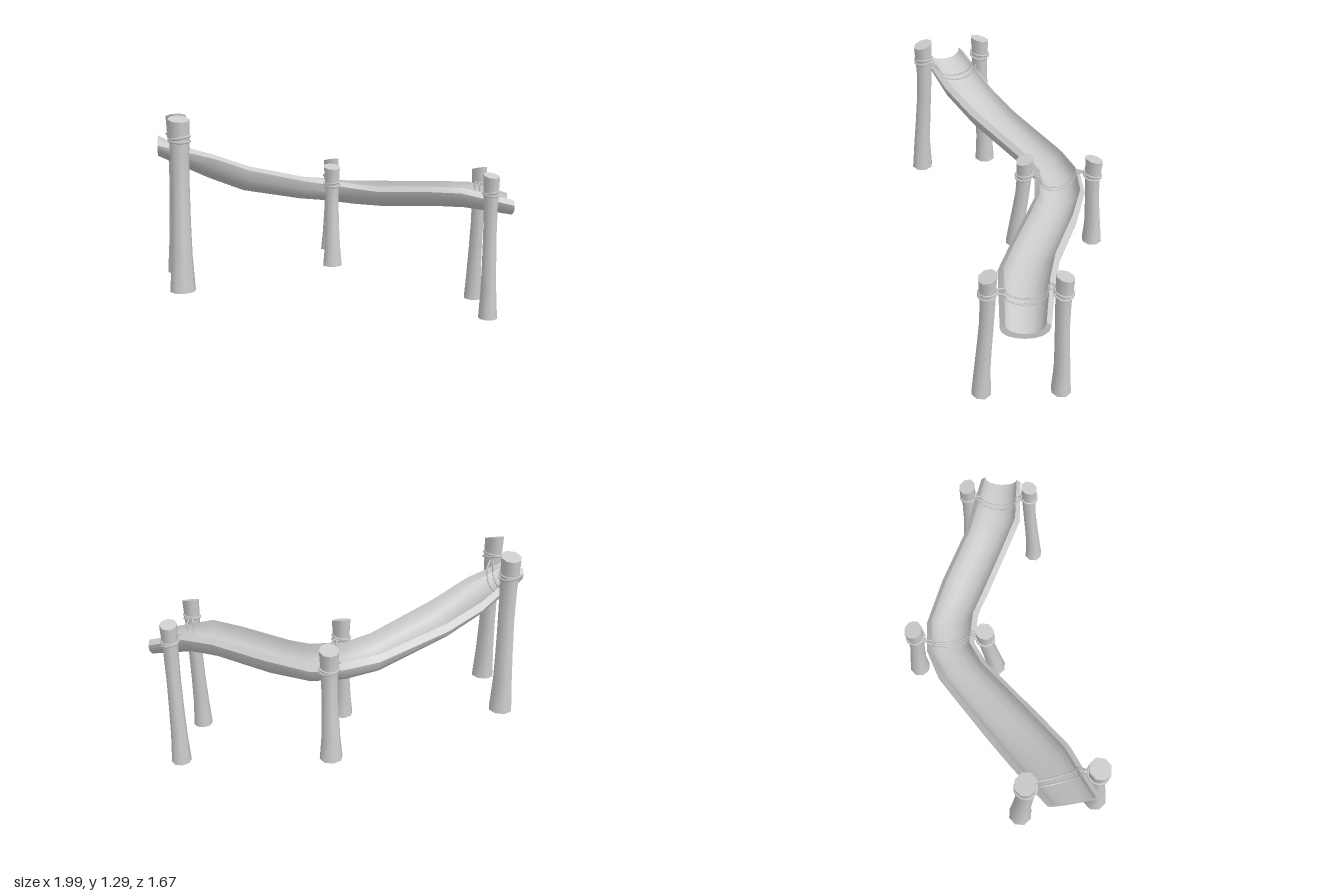
import * as THREE from 'three';
import { toCreasedNormals } from 'three/addons/utils/BufferGeometryUtils.js';

const material = new THREE.MeshStandardMaterial({ color: 0xcccccc, side: THREE.DoubleSide });

// Trough stations: left rim x, z, right rim x, z, left rim y, right rim y, bottom y
const stations = [
  [-0.93, 0.55, -0.77, 0.78, 1.17, 1.16, 1.06],
  [-0.80, 0.28, -0.57, 0.52, 1.00, 1.07, 0.91],
  [-0.69, 0.06, -0.46, 0.29, 0.92, 0.98, 0.81],
  [-0.48, -0.35, -0.28, -0.13, 0.84, 0.87, 0.71],
  [-0.35, -0.50, -0.19, -0.26, 0.82, 0.84, 0.685],
  [-0.18, -0.59, 0.00, -0.33, 0.80, 0.81, 0.66],
  [0.10, -0.63, 0.13, -0.335, 0.81, 0.80, 0.655],
  [0.47, -0.65, 0.47, -0.355, 0.825, 0.815, 0.675],
  [0.66, -0.69, 0.68, -0.37, 0.825, 0.815, 0.675],
  [0.89, -0.75, 0.99, -0.51, 0.755, 0.735, 0.63],
];

// Station values at a fractional position along the trough
function stationAt(t) {
  const i = Math.min(Math.floor(t), stations.length - 2);
  return stations[i].map((v, k) => THREE.MathUtils.lerp(v, stations[i + 1][k], t - i));
}

// Point across the trough, u = 0 at the left rim and 1 at the right
function troughPoint(t, u, inner) {
  const [lx, lz, rx, rz, ly, ry, bottom] = stationAt(t);
  const angle = Math.PI * u;
  const across = 0.5 - 0.5 * Math.cos(angle) * (inner ? 0.8 : 1);
  const rim = THREE.MathUtils.lerp(ly, ry, across) - (inner ? 0 : 0.03);
  const floor = bottom + (inner ? 0.035 : 0);
  return new THREE.Vector3(
    THREE.MathUtils.lerp(lx, rx, across),
    rim - (rim - floor) * Math.pow(Math.sin(angle), 0.9),
    THREE.MathUtils.lerp(lz, rz, across));
}

// Thick U-shaped shell lofted along the stations, closed at both ends
function createTrough() {
  const n = 8;
  const loop = 2 * (n + 1);
  const last = stations.length - 1;
  const positions = [];
  const index = [];
  for (let s = 0; s <= last; s++) {
    for (let k = 0; k <= n; k++) positions.push(...troughPoint(s, k / n, false).toArray());
    for (let k = n; k >= 0; k--) positions.push(...troughPoint(s, k / n, true).toArray());
  }
  for (let s = 0; s < last; s++) {
    for (let j = 0; j < loop; j++) {
      const a = s * loop + j;
      const b = s * loop + (j + 1) % loop;
      index.push(a, a + loop, b, b, a + loop, b + loop);
    }
  }
  for (let k = 0; k < n; k++) {
    const a = k, b = k + 1, c = loop - 2 - k, d = loop - 1 - k;
    index.push(a, b, c, a, c, d);
    const e = last * loop;
    index.push(e + a, e + c, e + b, e + a, e + d, e + c);
  }
  const geometry = new THREE.BufferGeometry();
  geometry.setAttribute('position', new THREE.Float32BufferAttribute(positions, 3));
  geometry.setIndex(index);
  const mesh = new THREE.Mesh(toCreasedNormals(geometry, 0.7), material);
  mesh.name = 'trough';
  return mesh;
}

// Crooked post with a flared foot and a top cut sloping down to the outside
const postRadii = [0.073, 0.06, 0.054, 0.051, 0.053, 0.062];
function createPost({ base, top, scale, out }) {
  const geometry = new THREE.CylinderGeometry(1, 1, 1, 8, 5);
  const p = geometry.attributes.position;
  for (let i = 0; i < p.count; i++) {
    const t = p.getY(i) + 0.5;
    const r = postRadii[Math.round(t * 5)] * scale;
    const bend = THREE.MathUtils.smoothstep(t, 0, 0.85);
    const x = p.getX(i) * r;
    const z = p.getZ(i) * r;
    const slope = t > 0.99 ? -out * 0.2 * (x + z) : 0;
    p.setXYZ(i,
      THREE.MathUtils.lerp(base[0], top[0], bend) + x,
      THREE.MathUtils.lerp(base[1], top[1], t) + slope,
      THREE.MathUtils.lerp(base[2], top[2], bend) + z);
  }
  const mesh = new THREE.Mesh(toCreasedNormals(geometry, 0.85), material);
  mesh.name = 'post';
  return mesh;
}

// Two tilted rope turns round a post, below its top
function createBinding({ top, scale, out }) {
  const group = new THREE.Group();
  group.name = 'ropeBinding';
  for (const side of [-1, 1]) {
    const turn = new THREE.Mesh(new THREE.TorusGeometry(0.059 * scale, 0.007, 5, 14), material);
    turn.name = 'ropeTurn';
    turn.position.set(top[0], top[1] - 0.11 + side * 0.008, top[2]);
    turn.rotation.set(Math.PI / 2 + out * 0.12, side * 0.12, 0);
    group.add(turn);
  }
  return group;
}

// Rope strand from one post, over the rims and along the inside, to the other
function createStrand(left, right, tLeft, tRight, shift) {
  const tie = (post) => new THREE.Vector3(post.top[0], post.top[1] - 0.11, post.top[2]);
  const points = [tie(left)];
  for (let k = 0; k <= 8; k++) {
    const u = k / 8;
    const point = troughPoint(THREE.MathUtils.lerp(tLeft, tRight, u) + shift, u, true);
    point.y += 0.003;
    points.push(point);
  }
  points.push(tie(right));
  const curve = new THREE.CatmullRomCurve3(points);
  const mesh = new THREE.Mesh(new THREE.TubeGeometry(curve, 40, 0.006, 5), material);
  mesh.name = 'ropeStrand';
  return mesh;
}

// Three trestles: left and right post, and where their ropes cross the trough
const trestles = [
  { name: 'upperTrestle', scale: 1, at: [0.5, 0.5],
    left: { base: [-0.925, 0.305, 0.385], top: [-0.895, 1.275, 0.41] },
    right: { base: [-0.645, 0.305, 0.765], top: [-0.665, 1.275, 0.72] } },
  { name: 'middleTrestle', scale: 0.89, at: [4.2, 4.3],
    left: { base: [-0.335, 0.295, -0.625], top: [-0.307, 0.935, -0.595] },
    right: { base: [-0.12, 0.295, -0.175], top: [-0.138, 0.935, -0.212] } },
  { name: 'lowerTrestle', scale: 0.83, at: [8.2, 8.45],
    left: { base: [0.68, 0, -0.775], top: [0.705, 0.905, -0.75] },
    right: { base: [0.873, 0, -0.358], top: [0.862, 0.905, -0.39] } },
];

export function createModel() {
  const model = new THREE.Group();
  model.name = 'waterTroughOnPosts';
  model.add(createTrough());
  for (const { name, scale, at, left, right } of trestles) {
    const group = new THREE.Group();
    group.name = name;
    const posts = [{ ...left, scale, out: -1 }, { ...right, scale, out: 1 }];
    for (const post of posts) group.add(createPost(post), createBinding(post));
    for (const shift of [-0.06, 0.06]) group.add(createStrand(...posts, ...at, shift));
    model.add(group);
  }
  return model;
}
